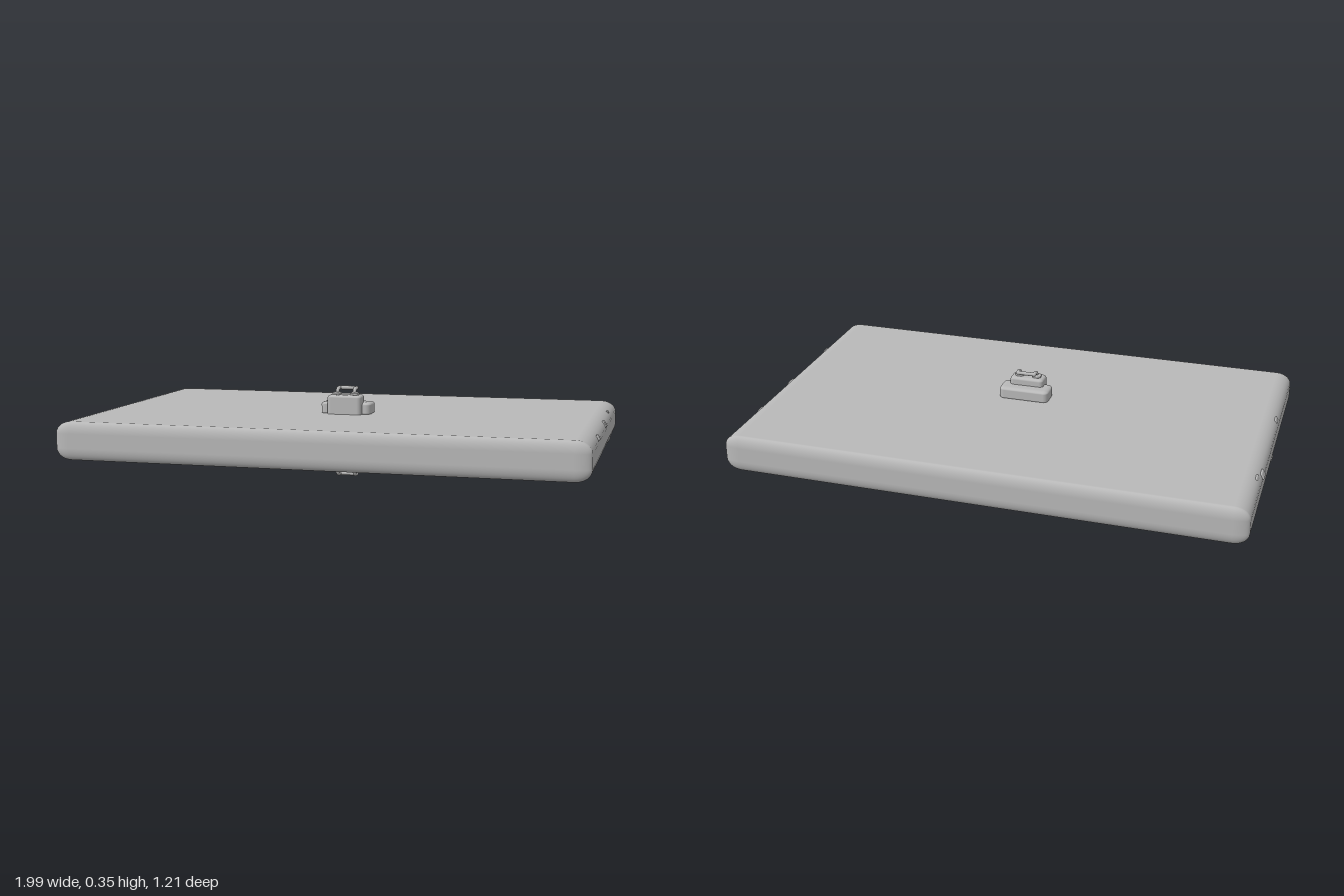
import * as THREE from 'three';
import { RoundedBoxGeometry } from 'three/addons/geometries/RoundedBoxGeometry.js';

const MID = 0.1775; // height of the slab's middle plane

export function createModel() {
  const model = new THREE.Group();
  model.name = 'panel';
  const grey = new THREE.MeshStandardMaterial({ color: 0xb9b9b9 });
  grey.name = 'plain grey';

  function add(parent, name, geometry, x = 0, y = 0, z = 0) {
    const mesh = new THREE.Mesh(geometry, grey);
    mesh.name = name;
    mesh.position.set(x, y, z);
    parent.add(mesh);
    return mesh;
  }

  // Rounded box with a separate rounding radius along each axis
  function softBox(w, h, d, rx, ry, rz, segments = 3) {
    const g = new RoundedBoxGeometry(w / rx, h / ry, d / rz, segments, 1);
    return g.scale(rx, ry, rz);
  }

  // Slab: its short ends are rounded more deeply than its long edges
  add(model, 'slab', softBox(1.98, 0.145, 1.21, 0.06, 0.045, 0.022, 4), 0, MID, 0);

  // Latch with a bent pull, heights measured from the middle plane
  function latch(name) {
    const g = new THREE.Group();
    g.name = name;
    add(g, 'latchBase', softBox(0.2, 0.05, 0.09, 0.02, 0.01, 0.02), 0, 0.092, 0.065);
    add(g, 'latchBlock', softBox(0.135, 0.085, 0.07, 0.016, 0.01, 0.014), 0, 0.104, 0.1);
    for (const s of [-1, 1]) {
      add(g, 'pullFoot', softBox(0.034, 0.014, 0.034, 0.012, 0.005, 0.012), s * 0.035, 0.15, 0.1);
      const arm = new THREE.CatmullRomCurve3([
        [0.1, 0.15], [0.096, 0.163], [0.084, 0.169], [0.064, 0.17],
      ].map(([z, y]) => new THREE.Vector3(s * 0.034, y, z)));
      add(g, 'pullArm', new THREE.TubeGeometry(arm, 10, 0.0075, 8));
      add(g, 'pullJoint', new THREE.SphereGeometry(0.0075, 10, 8), s * 0.034, 0.17, 0.064);
    }
    const bar = new THREE.CylinderGeometry(0.0075, 0.0075, 0.068, 10).rotateZ(Math.PI / 2);
    add(g, 'pullBar', bar, 0, 0.17, 0.064);
    g.position.y = MID;
    model.add(g);
    return g;
  }
  latch('topLatch');
  latch('bottomLatch').rotation.z = Math.PI;

  // Small nubs along the short ends: side, z, y, width, height
  const nubs = [
    [1, 0.315, 0.218, 0.04, 0.022], [1, -0.04, 0.22, 0.045, 0.028],
    [1, -0.325, 0.228, 0.04, 0.018], [1, 0.225, 0.13, 0.04, 0.02],
    [1, -0.265, 0.135, 0.045, 0.026], [1, -0.435, 0.127, 0.04, 0.018],
    [-1, -0.33, 0.228, 0.04, 0.018], [-1, -0.27, 0.216, 0.045, 0.026],
    [-1, 0.175, 0.223, 0.04, 0.02], [-1, -0.53, 0.13, 0.04, 0.02],
    [-1, 0.03, 0.135, 0.045, 0.026], [-1, 0.42, 0.13, 0.04, 0.02],
  ];
  for (const [side, z, y, w, h] of nubs) {
    // Follow the curve of the end: nubs nearer a face sit further in
    const x = 0.984 - Math.max(0, Math.abs(y - MID) - 0.035) * 1.1;
    const nub = add(model, 'sideNub', softBox(0.026, h, w, 0.005, 0.005, 0.006, 2), side * x, y, z);
    nub.rotation.z = side * Math.sign(y - MID) * 0.5;
  }
  return model;
}
